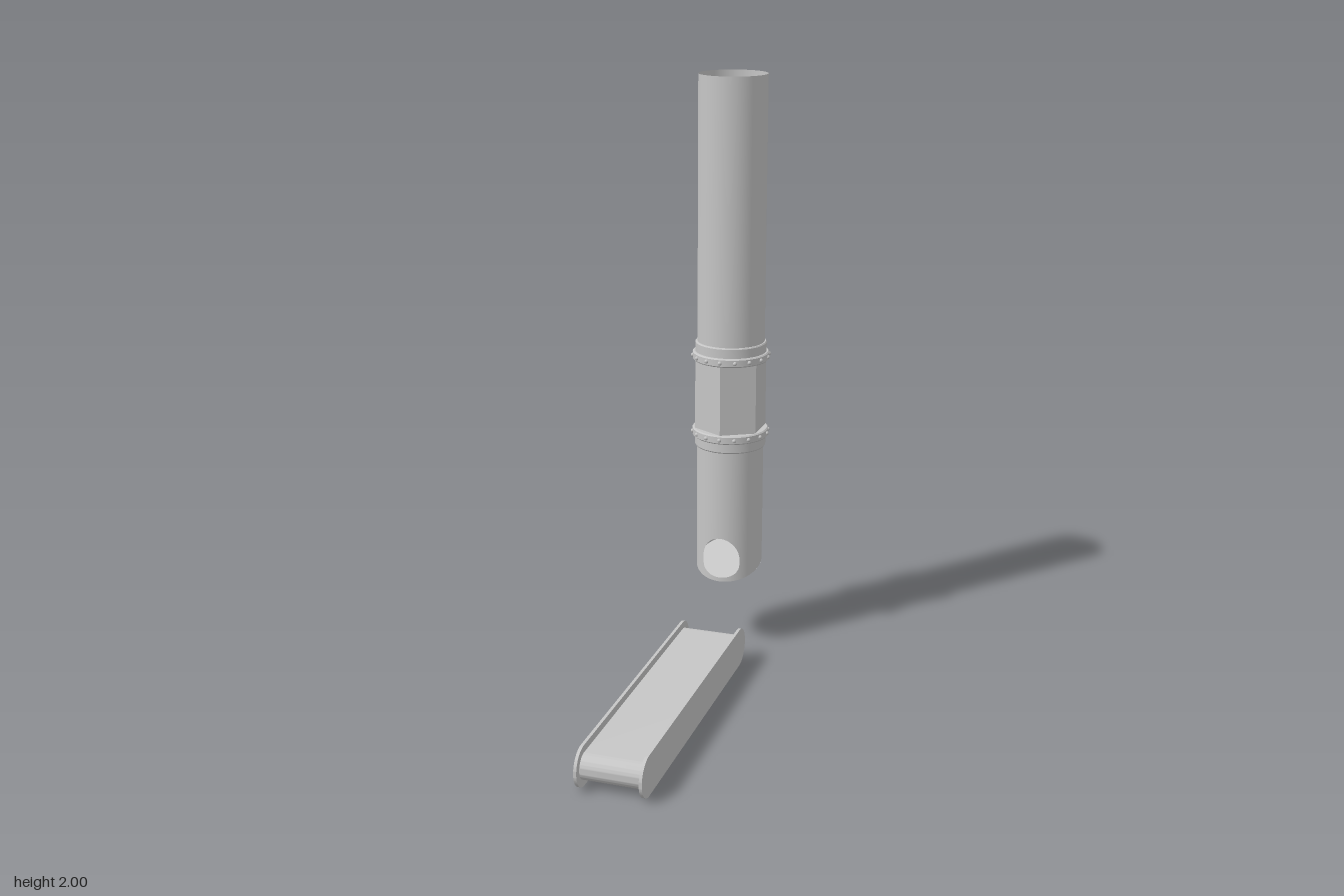
import * as THREE from 'three';
import { toCreasedNormals } from 'three/addons/utils/BufferGeometryUtils.js';
import { ParametricGeometry } from 'three/addons/geometries/ParametricGeometry.js';

const R = 0.115;          // pipe radius
const PIPE_Z = -0.545;    // pipe axis
const HOLE_X = 0.066;     // half width of the outlet
const HOLE_Y = 0.335;     // height of the outlet's middle

export function createModel() {
  const grey = new THREE.MeshStandardMaterial({ color: 0xc6c6c6, side: THREE.DoubleSide });
  grey.name = 'steel grey';
  const model = new THREE.Group();
  model.name = 'chuteAndConveyor';

  const add = (parent, name, geometry, x = 0, y = 0, z = 0) => {
    const mesh = new THREE.Mesh(geometry, grey);
    mesh.name = name;
    mesh.position.set(x, y, z);
    parent.add(mesh);
    return mesh;
  };

  // Conveyor: a rounded belt between two taller rounded side plates
  const stadium = (r, width) => {
    const half = 0.4685;
    const s = new THREE.Shape();
    s.moveTo(-half, -r);
    s.lineTo(half, -r);
    s.absarc(half, 0, r, -Math.PI / 2, Math.PI / 2, false);
    s.lineTo(-half, r);
    s.absarc(-half, 0, r, Math.PI / 2, Math.PI * 1.5, false);
    const g = new THREE.ExtrudeGeometry(s, { depth: width, bevelEnabled: false, curveSegments: 24 });
    g.translate(0, 0, -width / 2);
    g.rotateY(-Math.PI / 2);
    return toCreasedNormals(g, 0.6);
  };
  const conveyor = new THREE.Group();
  conveyor.name = 'conveyor';
  conveyor.position.set(0, 0.0665, 0.15);
  model.add(conveyor);
  add(conveyor, 'belt', stadium(0.043, 0.198));
  for (const side of [1, -1]) {
    add(conveyor, side > 0 ? 'leftSidePlate' : 'rightSidePlate', stadium(0.0665, 0.01), side * 0.103);
  }

  // Vertical pipe
  const pipe = new THREE.Group();
  pipe.name = 'pipe';
  pipe.position.z = PIPE_Z;
  model.add(pipe);
  const upper = new THREE.CylinderGeometry(R, R, 0.92, 64, 1, true);
  add(pipe, 'upperPipe', upper, 0, 1.54);

  // Six-sided middle sleeve, with corners to front and back
  const hex = new THREE.CylinderGeometry(0.125, 0.125, 0.25, 6, 1, true).toNonIndexed();
  hex.computeVertexNormals();
  add(pipe, 'hexSleeve', hex, 0, 0.915);

  // Lower pipe: slanted foot and a rounded outlet cut into the front
  const top = 0.77;
  const foot = (a) => 0.298 - 0.0425 * Math.cos(a);
  const edge = Math.asin(HOLE_X / R);
  const arc = (a) => Math.sqrt(Math.max(0, 1 - (Math.sin(a) * R / HOLE_X) ** 2));
  const holeTop = (a) => HOLE_Y + 0.08 * arc(a);
  const holeBottom = (a) => HOLE_Y - 0.065 * Math.pow(arc(a), 0.6);
  const wall = (name, angleAt, low, high, columns) => add(pipe, name,
    new ParametricGeometry((u, v, p) => {
      const a = angleAt(u);
      p.set(R * Math.sin(a), THREE.MathUtils.lerp(low(a), high(a), v), R * Math.cos(a));
    }, columns, 4));
  const across = (u) => Math.asin(-Math.cos(Math.PI * u) * HOLE_X / R);
  wall('lowerPipe', (u) => edge + u * (2 * Math.PI - 2 * edge), foot, () => top, 56);
  wall('wallAboveOutlet', across, holeTop, () => top, 28);
  wall('outletLip', across, foot, holeBottom, 28);

  // Slanted floor closing the foot
  const floor = new THREE.CircleGeometry(R, 64);
  floor.rotateX(-Math.PI / 2);
  const pos = floor.attributes.position;
  for (let i = 0; i < pos.count; i++) pos.setY(i, 0.298 - 0.0425 * pos.getZ(i) / R);
  floor.computeVertexNormals();
  add(pipe, 'slantedFloor', floor);

  // Couplings: stepped flange with a ring of bolt heads, mirrored top and bottom
  const profile = [
    [0.094, 0], [0.127, 0], [0.131, 0.004], [0.131, 0.026], [0.127, 0.03],
    [0.122, 0.03], [0.122, 0.061], [0.119, 0.065], [0.104, 0.065],
    [0.104, 0.05], [0.094, 0.05], [0.094, 0],
  ].map(([x, y]) => new THREE.Vector2(x, y));
  const flange = toCreasedNormals(new THREE.LatheGeometry(profile, 64), 0.5);
  const bolt = new THREE.SphereGeometry(0.007, 12, 8);
  const coupling = (name, y, flipped) => {
    const group = new THREE.Group();
    group.name = name;
    group.position.y = y;
    if (flipped) group.rotation.x = Math.PI;
    pipe.add(group);
    add(group, 'flange', flange);
    for (let i = 0; i < 16; i++) {
      const a = i * Math.PI / 8;
      add(group, 'bolt', bolt, 0.131 * Math.sin(a), 0.015, 0.131 * Math.cos(a));
    }
  };
  coupling('upperCoupling', 1.036, false);
  coupling('lowerCoupling', 0.794, true);

  return model;
}
